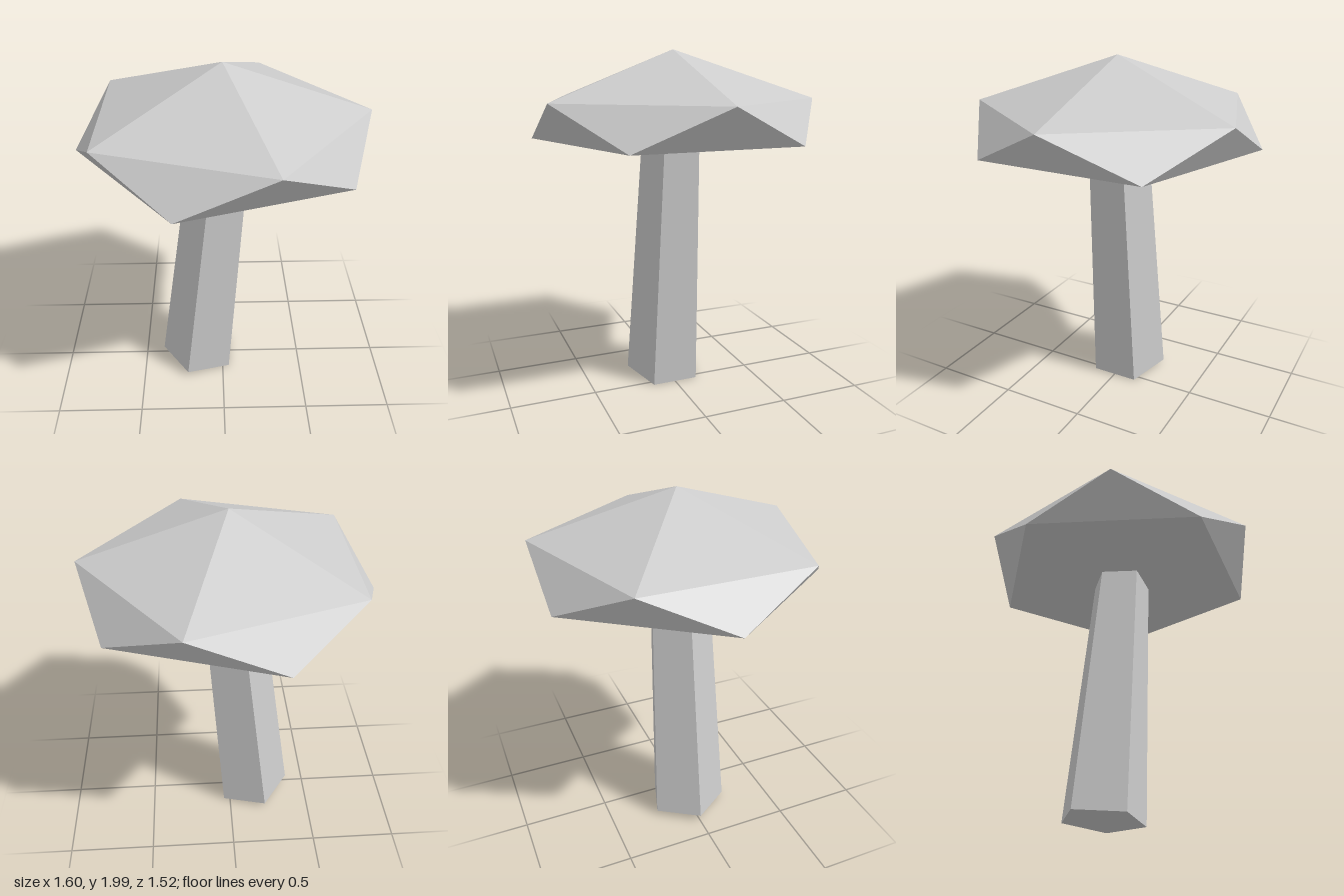
import * as THREE from 'three';

const grey = new THREE.MeshStandardMaterial({ color: 0xcccccc, flatShading: true });
grey.name = 'light grey';

// Five-sided ring of points; turn rotates it about the y axis.
function ring(radius, y, turn) {
  return Array.from({ length: 5 }, (_, i) => {
    const a = turn + (i * Math.PI * 2) / 5;
    return [radius * Math.cos(a), y, radius * Math.sin(a)];
  });
}

// Faceted cap: apex, two staggered pentagons and a flat underside.
function capGeometry() {
  const apex = [0, 2, 0];
  const base = [0, 1.512, 0];
  const upper = ring(0.8, 1.732, 0);
  const lower = ring(0.8, 1.512, Math.PI / 5);
  const points = [];
  for (let i = 0; i < 5; i++) {
    const j = (i + 1) % 5;
    points.push(
      apex, upper[j], upper[i],
      upper[i], upper[j], lower[i],
      lower[i], upper[j], lower[j],
      base, lower[i], lower[j],
    );
  }
  const geometry = new THREE.BufferGeometry();
  geometry.setAttribute('position', new THREE.Float32BufferAttribute(points.flat(), 3));
  geometry.computeVertexNormals();
  return geometry;
}

export function createModel() {
  const model = new THREE.Group();
  model.name = 'mushroom';

  const cap = new THREE.Mesh(capGeometry(), grey);
  cap.name = 'cap';
  model.add(cap);

  // Leaning, tapered five-sided stem with one corner towards -x.
  const stem = new THREE.Mesh(
    new THREE.CylinderGeometry(0.177, 0.236, 1.493, 5, 1, false, -Math.PI / 2),
    grey,
  );
  stem.name = 'stem';
  stem.position.set(-0.076, 0.767, 0);
  stem.rotation.z = -0.1;
  model.add(stem);

  return model;
}
